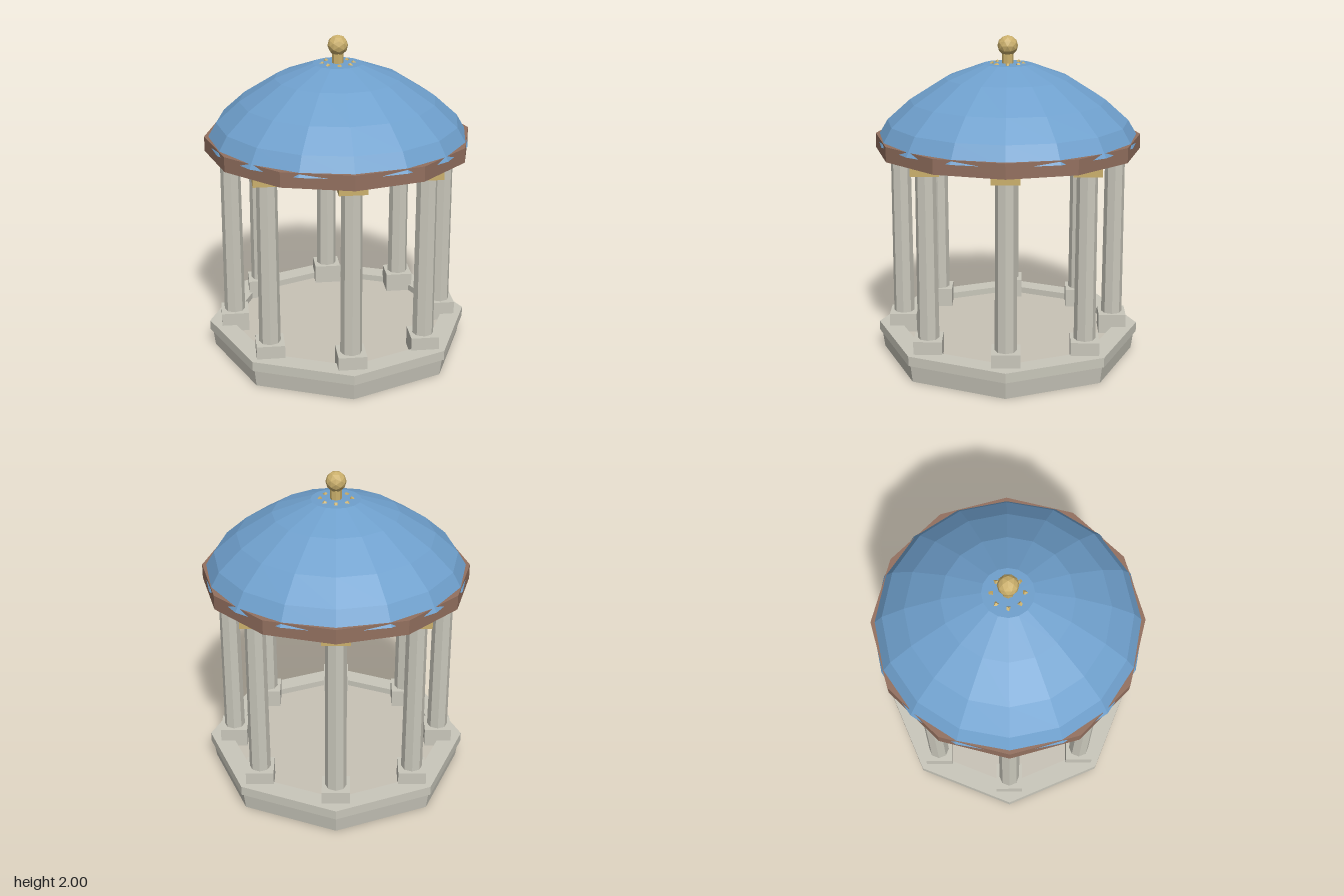
import * as THREE from 'three';

const mat = (name, color, side = THREE.FrontSide) => {
  const m = new THREE.MeshStandardMaterial({ color, side });
  m.name = name;
  return m;
};

// Faceted copy of a geometry: one normal per face
function faceted(geo) {
  const g = geo.index ? geo.toNonIndexed() : geo;
  g.computeVertexNormals();
  return g;
}

function part(parent, name, geo, material, x = 0, y = 0, z = 0) {
  const mesh = new THREE.Mesh(faceted(geo), material);
  mesh.name = name;
  mesh.position.set(x, y, z);
  parent.add(mesh);
  return mesh;
}

const lathe = (points, sides) =>
  new THREE.LatheGeometry(points.map(([r, y]) => new THREE.Vector2(r, y)), sides);

// Polygonal ring with a rectangular section
const ring = (inner, outer, y0, y1, sides) =>
  lathe([[outer, y0], [outer, y1], [inner, y1], [inner, y0], [outer, y0]], sides);

export function createModel() {
  const model = new THREE.Group();
  model.name = 'gazebo';

  const stone = mat('stone', 0xc9c7bb);
  const floorStone = mat('floor stone', 0xc8c2b6);
  const brown = mat('brown trim', 0x93705f);
  const gold = mat('gold', 0xcbb06c);
  const blue = mat('blue roof', 0x6fa0cd, THREE.DoubleSide);

  // Octagonal plinth, raised rim and sunken floor
  part(model, 'plinth', new THREE.CylinderGeometry(0.805, 0.79, 0.11, 8), stone, 0, 0.055, 0);
  part(model, 'plinthRim', ring(0.69, 0.82, 0.11, 0.17, 8), stone);
  part(model, 'floor', new THREE.CylinderGeometry(0.7, 0.7, 0.02, 8), floorStone, 0, 0.12, 0);

  // Eight columns with square bases and gold capitals, and the roof ribs above them
  const up = new THREE.Vector3(0, 1, 0);
  for (let i = 0; i < 8; i++) {
    const a = (i * Math.PI) / 4;
    const s = Math.sin(a), c = Math.cos(a);
    const column = new THREE.Group();
    column.name = 'column' + (i + 1);
    column.position.set(0.66 * s, 0, 0.66 * c);
    model.add(column);
    part(column, 'columnBase', new THREE.BoxGeometry(0.17, 0.14, 0.17), stone, 0, 0.18, 0);
    part(column, 'columnShaft', new THREE.CylinderGeometry(0.061, 0.065, 1.01, 8), stone, 0, 0.755, 0);
    part(column, 'columnCapital', new THREE.BoxGeometry(0.166, 0.055, 0.166), gold, 0, 1.2875, 0);

    const foot = new THREE.Vector3(0.71 * s, 1.37, 0.71 * c);
    const tip = new THREE.Vector3(0.085 * s, 1.834, 0.085 * c);
    const dir = tip.clone().sub(foot);
    const rib = part(model, 'roofRib' + (i + 1),
      new THREE.CylinderGeometry(0.013, 0.013, dir.length(), 5), gold);
    rib.position.copy(foot).add(tip).multiplyScalar(0.5);
    rib.quaternion.setFromUnitVectors(up, dir.normalize());
  }

  // Twelve-sided beam ring carrying the roof
  part(model, 'beamRing', ring(0.71, 0.81, 1.31, 1.4, 12), brown);

  // Sixteen-sided open dome
  part(model, 'dome', lathe([[0.8, 1.375], [0.735, 1.485], [0.595, 1.61],
    [0.38, 1.745], [0.15, 1.83], [0, 1.832]], 16), blue);

  // Finial
  part(model, 'finialStem', new THREE.CylinderGeometry(0.035, 0.035, 0.1, 8), gold, 0, 1.86, 0);
  part(model, 'finialBall', new THREE.IcosahedronGeometry(0.062, 1), gold, 0, 1.938, 0);

  return model;
}
